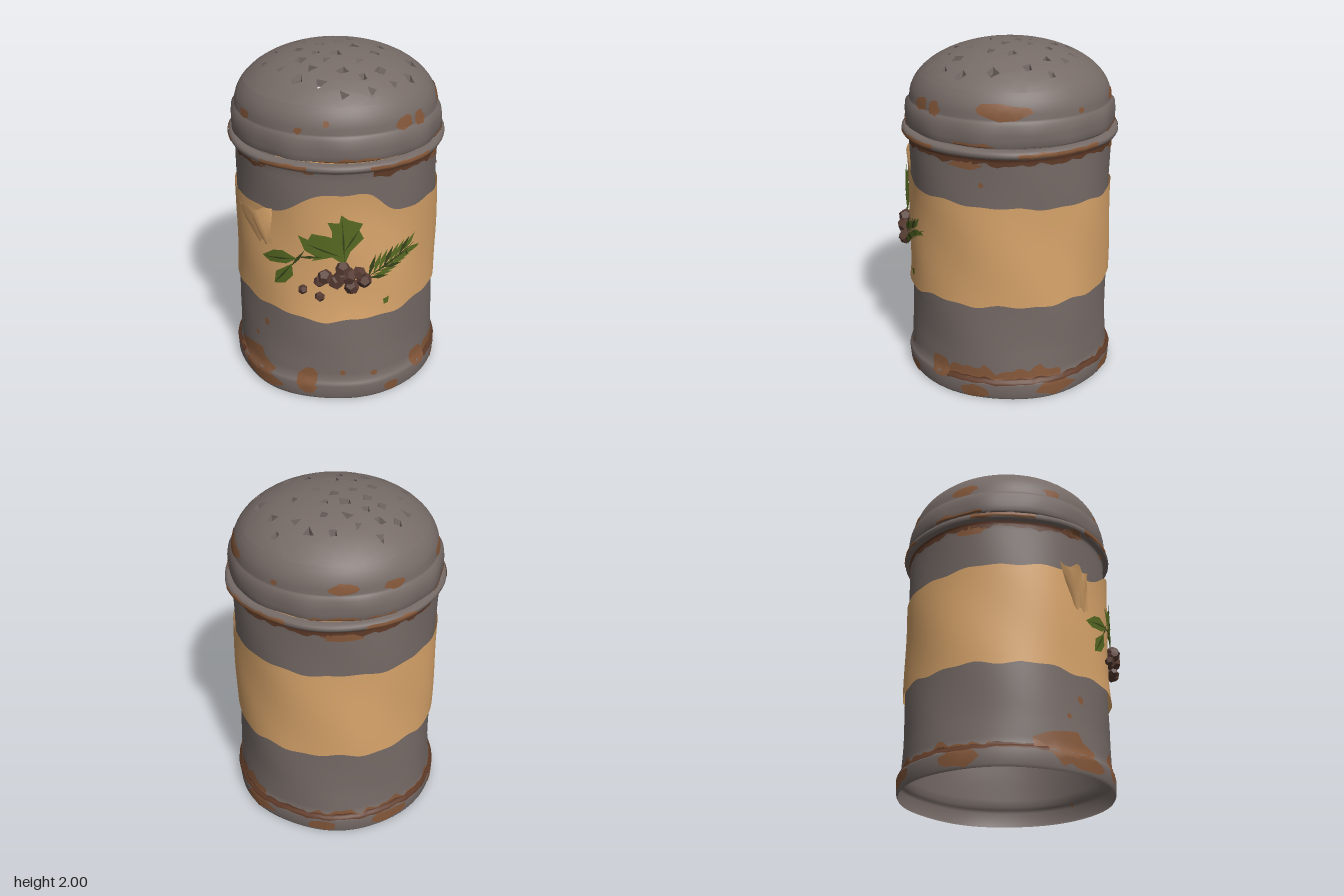
import * as THREE from 'three';
import { mergeGeometries, mergeVertices } from 'three/addons/utils/BufferGeometryUtils.js';

const { sin, cos, PI, exp, sqrt, hypot, max, ceil } = Math;
let seed = 7;
const rnd = () => (seed = (seed * 16807) % 2147483647) / 2147483647;

const mat = (name, color, flatShading = false) => {
  const m = new THREE.MeshStandardMaterial({ color, side: THREE.DoubleSide, flatShading });
  m.name = name;
  return m;
};

// Profiles as [radius, height]
const BODY = [[0.612, 0], [0.62, 0.015], [0.624, 0.09], [0.618, 0.11], [0.603, 0.125], [0.595, 0.3], [0.588, 0.9],
  [0.594, 1.3], [0.596, 1.455], [0.602, 1.47], [0.625, 1.476], [0.633, 1.49], [0.631, 1.508], [0.615, 1.517], [0.585, 1.519]];
const SKIRT = [[0.6, 1.53], [0.609, 1.536], [0.611, 1.6], [0.606, 1.65], [0.588, 1.668], [0.585, 1.68]];
const RIM = 0.53;
const domeY = (r) => 1.68 + 0.32 * sqrt(max(0, 1 - (r / 0.585) ** 2));

function radiusAt(profile, y) {
  for (let i = 1; i < profile.length; i++) {
    const [r0, y0] = profile[i - 1], [r1, y1] = profile[i];
    if (y <= y1) return r0 + (r1 - r0) * max(0, (y - y0) / (y1 - y0));
  }
  return profile[profile.length - 1][0];
}
// Dented tin surfaces
const dent = (a, y) => 0.006 * sin(3 * a + 4 * y) * sin(5 * y + 2 * a) + 0.003 * sin(7 * a - 3 * y);
const bodyR = (a, y) => radiusAt(BODY, y) + dent(a, y);
const lidR = (a, y) => y > 1.68 ? 0.585 * sqrt(max(0, 1 - ((y - 1.68) / 0.32) ** 2))
  : radiusAt(SKIRT, y) + dent(a * 2, y) * Math.min(1, (1.68 - y) * 20);

function build(points, index) {
  const g = new THREE.BufferGeometry();
  g.setAttribute('position', new THREE.Float32BufferAttribute(points.flat(), 3));
  g.setIndex(index);
  const merged = mergeVertices(g);
  merged.computeVertexNormals();
  return merged;
}
const polar = (a, y, r) => [r * sin(a), y, r * cos(a)];

// Grid surface; fn(u, v) returns [angle, height, radius]
function sheet(nu, nv, fn) {
  const pts = [], idx = [];
  for (let j = 0; j <= nv; j++) for (let i = 0; i <= nu; i++) pts.push(polar(...fn(i / nu, j / nv)));
  for (let j = 0; j < nv; j++) for (let i = 0; i < nu; i++) {
    const p = j * (nu + 1) + i, q = p + nu + 1;
    idx.push(p, p + 1, q + 1, p, q + 1, q);
  }
  return build(pts, idx);
}
// Full turn through a list of heights
const turned = (ys, R) => sheet(72, ys.length - 1, (u, v) => {
  const a = (u * 2 - 1) * PI, y = ys[Math.round(v * (ys.length - 1))];
  return [a, y, R(a, y)];
});
function heights(profile, lo, hi) {
  const stops = [lo, ...profile.map((p) => p[1]).filter((y) => y > lo && y < hi), hi], out = [lo];
  for (let i = 1; i < stops.length; i++) {
    const n = ceil((stops[i] - stops[i - 1]) / 0.05);
    for (let k = 1; k <= n; k++) out.push(stops[i - 1] + (stops[i] - stops[i - 1]) * k / n);
  }
  return out;
}
const band = (a0, a1, lo, hi, R, off) => sheet(ceil((a1 - a0) * 18), 6, (u, v) => {
  const a = a0 + (a1 - a0) * u, y = lo(a) + (hi(a) - lo(a)) * v;
  return [a, y, R(a, y) + off];
});

// Fill a flat outline, split it into small triangles and bend it with map(x, y)
function bend(outline, holes, step, map) {
  const v2 = (list) => list.map((p) => new THREE.Vector2(...p));
  const all = [outline, ...holes].flat(), pts = [];
  const split = (a, b, c) => {
    const d = [[a, b], [b, c], [c, a]].map(([p, q]) => hypot(p[0] - q[0], p[1] - q[1]));
    const k = d.indexOf(max(...d)), t = [a, b, c], p = t[k], q = t[(k + 1) % 3], r = t[(k + 2) % 3];
    if (d[k] < step) return pts.push(map(...a), map(...b), map(...c));
    const m = [(p[0] + q[0]) / 2, (p[1] + q[1]) / 2];
    split(p, m, r);
    split(m, q, r);
  };
  THREE.ShapeUtils.triangulateShape(v2(outline), holes.map(v2)).forEach((f) => split(...f.map((i) => all[i])));
  return build(pts, pts.map((_, i) => i));
}
// Irregular stain centred at angle a and height y
function stain(a, y, w, h, R, off = 0.004) {
  const pts = [], n = 11;
  for (let i = 0; i < n; i++) {
    const t = i / n * 2 * PI, k = 0.65 + 0.4 * rnd();
    pts.push([w * k * cos(t), h * k * sin(t)]);
  }
  return bend(pts, [], 0.05, (s, dy) => polar(a + s / 0.6, max(0.002, y + dy), R(a + s / 0.6, max(0.002, y + dy)) + off));
}
// Outline drawn as seen from the front, laid on the label
const onFront = (pts, off, lift = 0) => bend(pts, [], 0.05, (x, y) =>
  polar(Math.asin(x / 0.62), y, 0.612 + off + lift * Math.abs(x)));

const HOLES = [-16, -43, -18, -32, -28, -31, -5, -36, 9, -38, 21, -34, -35, -22, -22, -20, -12, -23, -1, -27, 11, -25,
  26, -24, 38, -27, -15, -13, -2, -16, 9, -14, 37, -14, -35, -8, -21, 0, -9, -4, 2, -7, 10, 0, 25, -5, -41, 4, 21, 7,
  42, 4, -20, 15, -12, 9, -1, 11, -31, 18, -6, 19, 12, 20, 23, 25, 39, 22, -22, 31, -14, 25, 2, 29, 13, 33, 30, 32,
  -10, 37, 17, 41, 2, 45];

export function createModel() {
  seed = 7;
  const group = new THREE.Group();
  const tin = mat('tin grey', 0x766b67), rust = mat('rust', 0x85583a), darkRust = mat('dark rust', 0x5e3a28);
  const paper = mat('tan paper', 0xd9a56b), green = mat('leaf green', 0x576a22), darkGreen = mat('dark green', 0x37431a);
  const brown = mat('berry brown', 0x573c33, true);
  const add = (name, geo, m) => {
    const mesh = new THREE.Mesh(geo, m);
    mesh.name = name;
    group.add(mesh);
    return mesh;
  };

  // Open tin, hidden under the label in the middle
  add('lowerBody', turned(heights(BODY, 0, 0.66), bodyR), tin);
  add('upperBody', turned(heights(BODY, 1.12, 1.519), bodyR), tin);

  // Lid: skirt, and a dome pierced by ragged holes
  const holes = [], lips = [], rimY = domeY(RIM);
  for (let i = 0; i < HOLES.length; i += 2) {
    const c = [HOLES[i] / 100, -(HOLES[i + 1] / 100 + 0.025)], n = rnd() < 0.45 ? 3 : 4, t0 = rnd() * 6, s = 0.03 + 0.014 * rnd();
    const ring = Array.from({ length: n }, (_, k) => {
      const t = t0 + (k + 0.4 * rnd()) / n * 2 * PI, r = s * (0.75 + 0.25 * rnd());
      return [c[0] + r * cos(t), c[1] + r * sin(t)];
    });
    holes.push(ring);
    const at = (p, k, drop) => {
      const x = c[0] + (p[0] - c[0]) * k, z = c[1] + (p[1] - c[1]) * k;
      return [x, domeY(hypot(p[0], p[1])) - drop, -z];
    };
    ring.forEach((p, k) => {
      const q = ring[(k + 1) % n];
      lips.push(at(p, 1, 0), at(q, 1, 0), at(q, 0.78, 0.035), at(p, 1, 0), at(q, 0.78, 0.035), at(p, 0.78, 0.035));
    });
  }
  const edge = Array.from({ length: 72 }, (_, i) => [RIM * cos(i / 36 * PI), RIM * sin(i / 36 * PI)]);
  const dome = bend(edge, holes, 0.07, (x, y) => [x, domeY(hypot(x, y)), -y]);
  const skirtYs = [...heights(SKIRT, 1.53, 1.68), 1.71, 1.74, 1.77, 1.795, rimY];
  add('lid', mergeVertices(mergeGeometries([dome, turned(skirtYs, lidR)]), 0.0005), tin);
  const lipGeo = new THREE.BufferGeometry();
  lipGeo.setAttribute('position', new THREE.Float32BufferAttribute(lips.flat(), 3));
  lipGeo.computeVertexNormals();
  add('punchedLips', lipGeo, tin);

  // Wavy paper label with a torn flap
  const wob = (a) => 0.008 * sin(9 * a) + 0.006 * sin(17 * a + 1);
  const lo = (a) => 0.588 - 0.045 * exp(-((a / 0.7) ** 2)) + wob(a);
  const hi = (a) => 1.185 + 0.022 * cos(a) + 0.14 * exp(-((a / 0.42) ** 4)) + wob(a + 2) * 0.7;
  add('label', sheet(108, 16, (u, v) => {
    const a = (u * 2 - 1) * PI, y = lo(a) + (hi(a) - lo(a)) * v;
    return [a, y, 0.604 + dent(a, y) + 0.012 * exp(-a * a * 3) * (2 * v - 1) ** 4];
  }), paper);
  add('tornFlap', sheet(8, 6, (u, v) => {
    const a = -0.68 - 0.4 * u * (0.5 + 0.5 * v), y = 0.98 + 0.22 * v + 0.015 * sin(u * 14);
    return [a, y, 0.61 + 0.065 * v * sin(u * PI * 0.8) + 0.012 * sin(u * 15 + v * 5) * v];
  }), paper);

  // Rust bands under the rim and above the foot
  const rag = (base, amp) => (a) => base + amp * (sin(11 * a) + sin(23 * a + 1) + sin(37 * a)) / 3;
  add('rimShadowRust', band(0.3, 5.5, rag(1.432, 0.018), () => 1.468, bodyR, 0.004), darkRust);
  add('footDarkRust', band(1, 5.1, rag(0.1, 0.008), rag(0.132, 0.012), bodyR, 0.005), darkRust);
  add('footRust', band(1, 2.15, () => 0.12, rag(0.185, 0.04), bodyR, 0.003), rust);
  add('footRustBack', band(2.6, 4.6, () => 0.12, rag(0.145, 0.035), bodyR, 0.003), rust);
  [[-0.75, -0.3], [0.25, 0.9], [1.7, 2.5], [3.2, 3.7], [4.4, 5]].forEach(([a, b]) =>
    add('rimRust', band(a, b, rag(1.48, 0.008), rag(1.508, 0.006), bodyR, 0.004), rust));
  [[-0.2, 0.35], [1.1, 1.5], [2.7, 3.5], [4, 4.5]].forEach(([a, b]) =>
    add('lidEdgeRust', band(a, b, () => 1.531, rag(1.548, 0.014), lidR, 0.004), rust));

  // Rust stains: angle, height, half width, half height
  [[-1, 0.14, 0.2, 0.11], [-0.75, 0.06, 0.14, 0.05], [-0.32, 0.12, 0.07, 0.09], [0.33, 0.16, 0.025, 0.02], [0.52, 0.05, 0.06, 0.04],
    [0.02, 0.18, 0.02, 0.02], [0.9, 0.14, 0.09, 0.07], [-0.8, 0.43, 0.025, 0.03], [-0.95, 0.32, 0.02, 0.02], [1.3, 0.05, 0.1, 0.05],
    [2.1, 0.06, 0.14, 0.05], [2.8, 0.05, 0.1, 0.04], [3.5, 0.06, 0.14, 0.05], [4.3, 0.06, 0.12, 0.06], [1.36, 1.31, 0.018, 0.018],
    [-0.3, 1.46, 0.04, 0.012], [-0.85, 1.46, 0.08, 0.02], [1.2, 1.42, 0.12, 0.03], [3, 1.42, 0.14, 0.025], [4.4, 1.42, 0.12, 0.03],
  ].forEach((s) => add('bodyRust', stain(...s, bodyR), rust));
  [[0.64, 1.705, 0.07, 0.045], [-0.14, 1.74, 0.02, 0.02], [-0.4, 1.695, 0.03, 0.022], [1.57, 1.72, 0.2, 0.055], [0.85, 1.7, 0.05, 0.045],
    [2.35, 1.7, 0.03, 0.02], [3, 1.71, 0.1, 0.035], [3.5, 1.7, 0.07, 0.03], [4.3, 1.71, 0.1, 0.04], [5.2, 1.7, 0.06, 0.03],
  ].forEach((s) => add('lidRust', stain(...s, lidR), rust));

  // Herb sprig: lobed leaf, two small leaves and a fallen scrap
  const leaf = (name, pts, rib, off) => {
    add(name, onFront(pts, off), green);
    rib.forEach(([x0, y0, x1, y1]) => add(name + 'Rib', strip(x0, y0, x1, y1, 0.006, off + 0.004), darkGreen));
  };
  const strip = (x0, y0, x1, y1, w, off, lift) => {
    const l = hypot(x1 - x0, y1 - y0), nx = -(y1 - y0) / l * w, ny = (x1 - x0) / l * w, mx = (x0 + x1) / 2, my = (y0 + y1) / 2;
    return onFront([[x0, y0], [mx - nx, my - ny], [x1, y1], [mx + nx, my + ny]], off, lift);
  };
  leaf('lobedLeaf', [[0, 1.23], [-0.01, 1.18], [-0.075, 1.185], [-0.05, 1.13], [-0.05, 1.09], [-0.08, 1.1], [-0.16, 1.11], [-0.18, 1.07],
    [-0.235, 1.09], [-0.2, 1], [-0.14, 0.97], [-0.16, 0.94], [-0.05, 0.97], [0.02, 0.92], [0.05, 1], [0.125, 1.08], [0.1, 1.13],
    [0.12, 1.17], [0.04, 1.2]], [[0.02, 0.93, 0.005, 1.2], [0.01, 0.97, -0.2, 1.05], [0.015, 1, 0.1, 1.14]], 0.012);
  leaf('sideLeaf', [[-0.43, 0.91], [-0.37, 0.965], [-0.32, 0.98], [-0.24, 0.945], [-0.3, 0.9], [-0.39, 0.885]], [[-0.42, 0.91, -0.24, 0.945]], 0.02);
  leaf('lowerLeaf', [[-0.37, 0.75], [-0.36, 0.83], [-0.27, 0.905], [-0.265, 0.83], [-0.31, 0.77]], [[-0.37, 0.75, -0.27, 0.9]], 0.015);
  add('leafScrap', onFront([[0.245, 0.66], [0.25, 0.625], [0.275, 0.63], [0.28, 0.67]], 0.006), green);

  // Stems
  [[-0.28, 0.88, -0.2, 1], [-0.25, 0.95, -0.1, 0.97], [0.02, 0.94, 0.05, 0.85], [0.13, 0.82, 0.42, 0.97]].forEach((s) =>
    add('stem', strip(...s, 0.009, 0.012), darkGreen));

  // Needle sprig, leaflets in pairs along its stem
  for (let i = 0; i < 8; i++) {
    const t = i / 7, x = 0.15 + 0.19 * t, y = 0.83 + 0.12 * t, l = 0.15 - 0.03 * t;
    [1.3 - t * 0.3, -0.02 + t * 0.15].forEach((d, k) => add('needleLeaf',
      strip(x, y, x + l * cos(d) * (k ? 0.75 : 1), y + l * sin(d), 0.013, 0.012, 0.06), i % 3 ? green : darkGreen));
  }
  add('needleTip', strip(0.32, 0.93, 0.44, 0.96, 0.012, 0.012, 0.06), green);

  // Dried berries
  [[0.01, 0.9, 0.045], [-0.09, 0.85, 0.045], [-0.03, 0.82, 0.045], [0.04, 0.855, 0.05], [0.1, 0.87, 0.04], [0.13, 0.82, 0.045],
    [0.06, 0.785, 0.045], [-0.12, 0.82, 0.035], [0, 0.85, 0.045], [-0.215, 0.755, 0.028], [-0.12, 0.72, 0.03]].forEach(([x, y, r], i) => {
    const berry = add('berry', new THREE.DodecahedronGeometry(r), brown);
    berry.position.set(x, y, sqrt(0.635 ** 2 - x * x));
    berry.rotation.set(i, i * 2, i * 0.7);
  });

  group.children.forEach((m) => { m.position.z -= 0.025; });
  return group;
}
